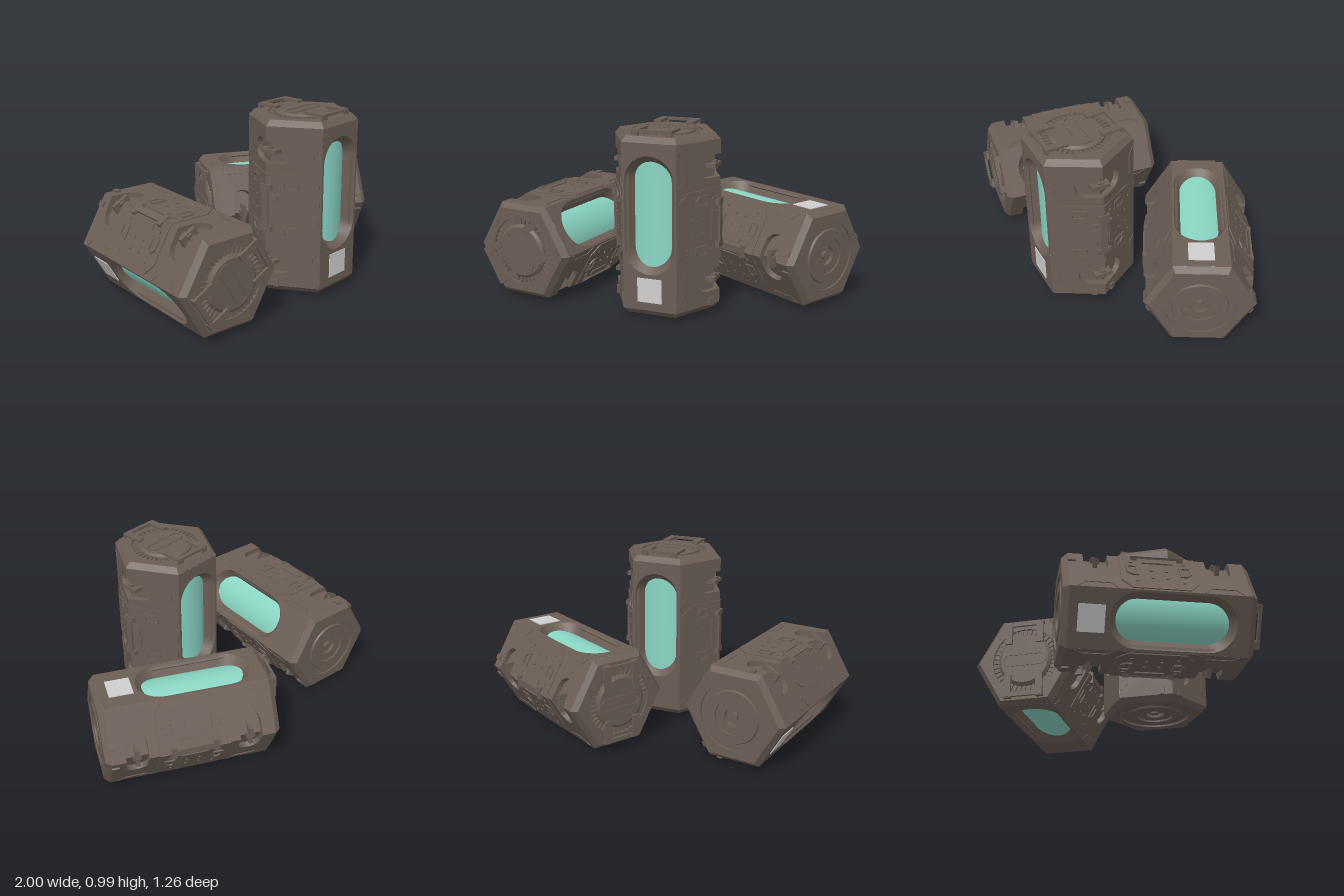
import * as THREE from 'three';
import { toCreasedNormals } from 'three/addons/utils/BufferGeometryUtils.js';

const R = 0.294, A = 0.255, W = R / 2, TOP = 0.44, END = 0.47;
const mat = (name, color) => {
  const m = new THREE.MeshStandardMaterial({ color, side: THREE.DoubleSide });
  m.name = name;
  return m;
};
const V = (x, y) => new THREE.Vector2(x, y);

// closed ring of points for a stadium with its long side along y
function stadium(r, half, cy = 0, n = 14) {
  const pts = [];
  for (let i = 0; i <= n; i++) pts.push(V(r * Math.cos(Math.PI * i / n), cy + half + r * Math.sin(Math.PI * i / n)));
  for (let i = 0; i <= n; i++) pts.push(V(-r * Math.cos(Math.PI * i / n), cy - half - r * Math.sin(Math.PI * i / n)));
  return pts;
}

function buildCanister(name, shell, glass, paper) {
  const can = new THREE.Group();
  can.name = name;
  const add = (part, geo, parent = can, m = shell) => {
    const mesh = new THREE.Mesh(geo, m);
    mesh.name = part;
    parent.add(mesh);
    return mesh;
  };
  const box = (part, w, h, d, x, y, z, parent = can) => {
    const b = add(part, new THREE.BoxGeometry(w, h, d), parent);
    b.position.set(x, y, z);
    return b;
  };
  const slab = (part, pts, z0, z1, parent, holes = []) => {
    const s = new THREE.Shape(pts);
    holes.forEach(h => s.holes.push(new THREE.Path(h)));
    const g = new THREE.ExtrudeGeometry(s, { depth: z1 - z0, bevelEnabled: false });
    return add(part, g.translate(0, 0, z0), parent);
  };
  const face = (part, deg) => {
    const g = new THREE.Group();
    g.name = part;
    g.rotation.y = THREE.MathUtils.degToRad(deg);
    can.add(g);
    return g;
  };

  // inner glass tube
  add('glassTube', new THREE.CylinderGeometry(0.22, 0.22, 0.8, 48), can, glass);

  // window faces with a sloping recess
  for (const deg of [0, 180]) {
    const f = face('windowFace', deg);
    const outer = stadium(0.135, 0.175, 0.065), inner = stadium(0.1, 0.175, 0.065);
    const s = new THREE.Shape([V(-W, -TOP), V(W, -TOP), V(W, TOP), V(-W, TOP)]);
    s.holes.push(new THREE.Path(outer));
    add('windowPanel', new THREE.ShapeGeometry(s).translate(0, 0, A), f);
    const pos = [], idx = [], n = outer.length;
    outer.forEach((p, i) => {
      const q = inner[i], j = (i + 1) % n;
      pos.push(p.x, p.y, A, q.x, q.y, Math.sqrt(0.22 ** 2 - q.x ** 2) - 0.002);
      idx.push(2 * i, 2 * j, 2 * i + 1, 2 * j, 2 * j + 1, 2 * i + 1);
    });
    const rim = new THREE.BufferGeometry();
    rim.setAttribute('position', new THREE.Float32BufferAttribute(pos, 3));
    rim.setIndex(idx);
    rim.computeVertexNormals();
    add('windowRim', rim, f);
    if (deg === 0) {
      const label = add('label', new THREE.BoxGeometry(0.134, 0.13, 0.006), f, paper);
      label.position.set(0, -0.33, A + 0.001);
    }
  }

  // side faces: e points toward the corner they share in pairs
  for (const [deg, e] of [[60, 1], [120, -1], [240, 1], [300, -1]]) {
    const f = face('sideFace', deg);
    const at = s => e * (W - s);
    const pts = [V(-W * e, TOP), V(-W * e, -TOP), V(W * e, -TOP)];
    for (const cy of [-0.305, 0.305]) {
      pts.push(V(W * e, cy - 0.06));
      for (let i = 0; i <= 10; i++) {
        const a = Math.PI * i / 10;
        pts.push(V(e * (0.06 - 0.06 * Math.sin(a)), cy - 0.06 * Math.cos(a)));
      }
      pts.push(V(W * e, cy + 0.06));
    }
    pts.push(V(W * e, TOP));
    slab('sidePanel', pts, A - 0.035, A, f);
    // floor of the grip recesses
    const core = add('recessFloor', new THREE.PlaneGeometry(0.26, 0.86), f);
    core.position.z = 0.225;

    // raised service plate with buttons, rivets and bars
    slab('servicePlate', [V(at(0), -0.19), V(at(0.22), -0.19), V(at(0.283), -0.14),
      V(at(0.283), 0.14), V(at(0.22), 0.19), V(at(0), 0.19)], A - 0.004, A + 0.005, f);
    for (const t of [-1, 1]) {
      const b = [[0.09, 0.103], [0.175, 0.103], [0.175, 0.135], [0.15, 0.16], [0.09, 0.16]];
      const c = [[0.102, 0.113], [0.163, 0.113], [0.163, 0.131], [0.145, 0.15], [0.102, 0.15]];
      const place = list => list.map(([s, y]) => V(at(s), y * t));
      slab('buttonFrame', place(b), A, A + 0.012, f, [place(c)]);
      for (const [s, y, r] of [[0.055, 0.132, 0.011], [0.13, 0.037, 0.008], [0.193, 0.037, 0.008], [0.225, 0.115, 0.007]]) {
        const rivet = add('rivet', new THREE.CylinderGeometry(r, r, 0.012, 10), f);
        rivet.rotation.x = Math.PI / 2;
        rivet.position.set(at(s), y * t, A + 0.004);
      }
      box('seamStrip', 0.007, 0.12, 0.008, at(0.25), 0.305 * t, A, f);
      for (const k of [-1, 1])
        box('seamStrip', 0.05, 0.005, 0.006, at(0.27), 0.305 * t + 0.078 * k, A, f).rotation.z = -0.7 * e * k;
    }
    box('claspBar', 0.03, 0.15, 0.024, at(0.05), 0, A, f);
    box('footTab', 0.03, 0.04, 0.02, at(0.06), -0.42, A, f);
  }

  // corner clasps and grips
  for (const x of [-1, 1]) {
    box('claspSpine', 0.05, 0.2, 0.036, x * 0.276, 0, 0);
    for (const y of [-1, 1]) {
      box('claspBracket', 0.05, 0.03, 0.07, x * 0.276, y * 0.115, 0);
      box('gripBar', 0.06, 0.022, 0.1, x * 0.252, y * 0.305, 0);
      box('gripPost', 0.05, 0.045, 0.03, x * 0.25, y * 0.305, 0);
    }
  }

  // chamfered ends with round sockets
  const hex = new THREE.Shape();
  for (let i = 0; i < 6; i++) {
    const a = i * Math.PI / 3, p = [0.265 * Math.cos(a), 0.265 * Math.sin(a)];
    i ? hex.lineTo(...p) : hex.moveTo(...p);
  }
  hex.holes.push(new THREE.Path().absarc(0, 0, 0.187, 0, Math.PI * 2, true));
  for (const t of [1, -1]) {
    const ch = new THREE.CylinderGeometry(t > 0 ? 0.265 : R, t > 0 ? R : 0.265, END - TOP, 6, 1, true);
    ch.rotateY(Math.PI / 6).translate(0, t * (TOP + END) / 2, 0);
    add('endChamfer', toCreasedNormals(ch, 0.5));
    add('endPlate', new THREE.ShapeGeometry(hex, 24).rotateX(-t * Math.PI / 2).translate(0, t * END, 0));
  }
  const lathe = (part, pts) =>
    add(part, toCreasedNormals(new THREE.LatheGeometry(pts.map(p => V(...p)), 48), 0.5));
  lathe('lid', [[0, 0.483], [0.135, 0.483], [0.15, 0.472], [0.15, 0.455], [0.187, 0.455], [0.187, 0.47]]);
  lathe('base', [[0.187, -0.47], [0.187, -0.46], [0.15, -0.46], [0.145, -0.47], [0.1, -0.47], [0.1, -0.46],
    [0.05, -0.46], [0.05, -0.44], [0.022, -0.44], [0.022, -0.458], [0, -0.458]]);

  // lid teeth, slot and handles
  for (let i = 0; i < 40; i++) {
    const a = i * Math.PI / 20;
    box('lidTooth', 0.012, 0.012, 0.034, 0.168 * Math.sin(a), 0.46, 0.168 * Math.cos(a)).rotation.y = a;
  }
  const slot = slab('lidSlot', stadium(0.037, 0.09), 0, 0.006, can, [stadium(0.027, 0.09)]);
  slot.rotation.set(-Math.PI / 2, 0, Math.PI / 2);
  slot.position.y = 0.482;
  for (const z of [-1, 1]) {
    box('handleBar', 0.2, 0.014, 0.022, 0, 0.493, z * 0.208);
    for (const x of [-1, 1]) {
      box('handleArm', 0.04, 0.014, 0.125, x * 0.09, 0.493, z * 0.156);
      box('handleFoot', 0.04, 0.032, 0.014, x * 0.09, 0.48, z * 0.215);
    }
  }
  return can;
}

export function createModel() {
  const model = new THREE.Group();
  model.name = 'canisters';
  const mats = [mat('brownShell', 0x6b5e56), mat('tealGlass', 0x8ad6c4), mat('paleLabel', 0xcfcfcf)];
  // name, centre, lid direction, label direction
  const c = Math.cos(0.143), s = Math.sin(0.143), k = Math.sqrt(3) / 2;
  const layout = [
    ['standingCanister', [0.055, 0.49, 0.35], [0, 1, 0], [0, 0, 1]],
    ['leftLyingCanister', [-0.648, 0.275, 0.09], [-s, 0, c], [-c * k, -0.5, -s * k]],
    ['rightLyingCanister', [0.46, 0.275, -0.168], [-k, 0, -0.5], [0, 1, 0]],
  ];
  for (const [name, pos, lid, label] of layout) {
    const can = buildCanister(name, ...mats);
    const y = new THREE.Vector3(...lid), z = new THREE.Vector3(...label);
    const x = new THREE.Vector3().crossVectors(y, z);
    can.quaternion.setFromRotationMatrix(new THREE.Matrix4().makeBasis(x, y, z));
    can.position.set(...pos);
    model.add(can);
  }
  return model;
}
